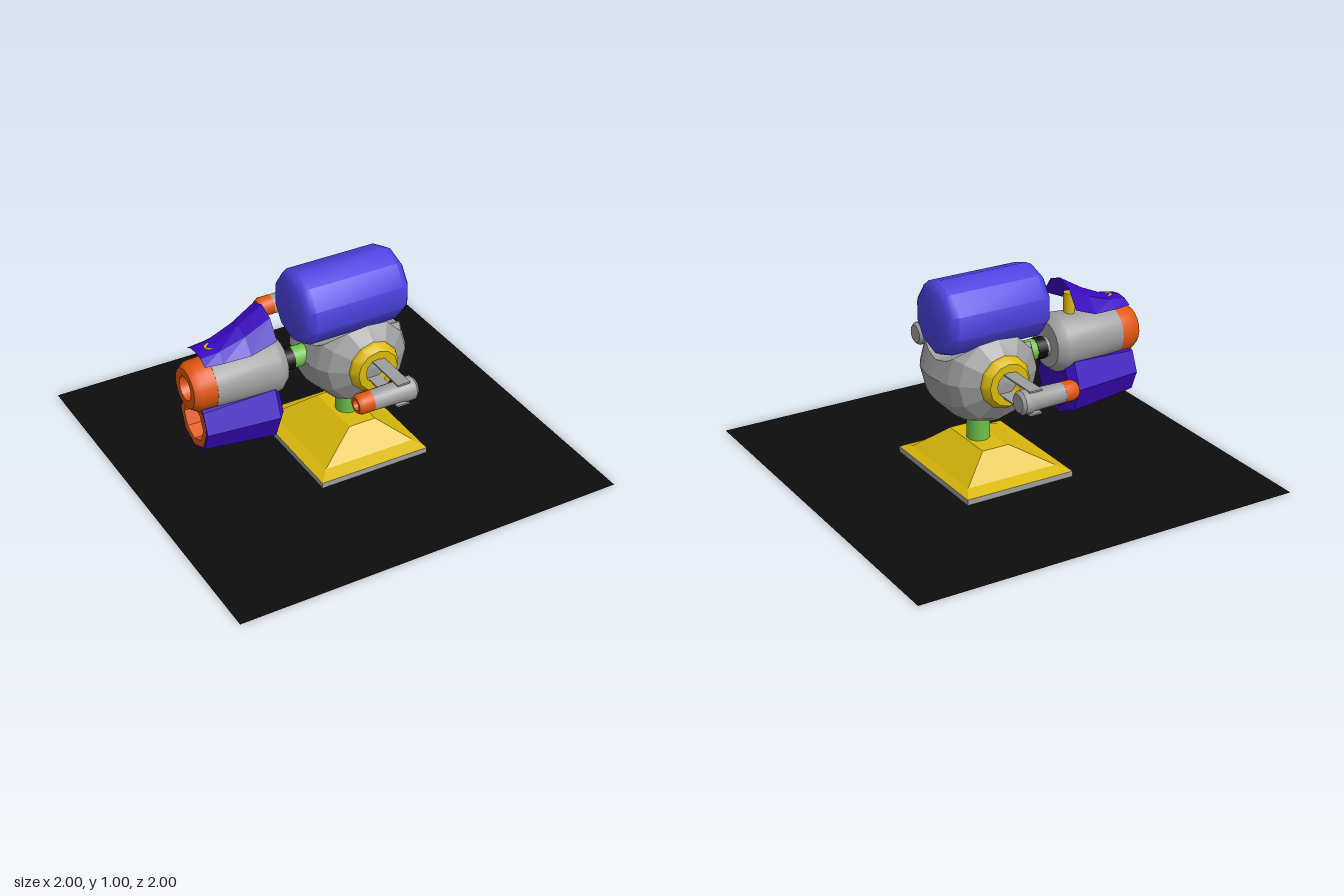
import * as THREE from 'three';
import { toCreasedNormals } from 'three/addons/utils/BufferGeometryUtils.js';

const paint = (name, color, side = THREE.FrontSide) => {
  const m = new THREE.MeshStandardMaterial({ color, side });
  m.name = name;
  return m;
};

export function createModel() {
  const grey = paint('grey', 0x9e9e9e);
  const yellow = paint('yellow', 0xdab90c);
  const green = paint('green', 0x6cc24a);
  const orange = paint('orange', 0xe0560c);
  const black = paint('black', 0x0d0d0d, THREE.DoubleSide);
  const blue = paint('blue', 0x4b42e0);
  const violet = paint('violet', 0x3a08c0, THREE.DoubleSide);

  const model = new THREE.Group();
  const add = (name, geo, mat, x = 0, y = 0, z = 0, parent = model) => {
    const mesh = new THREE.Mesh(geo, mat);
    mesh.name = name;
    mesh.position.set(x, y, z);
    parent.add(mesh);
    return mesh;
  };

  // Turned part: profile is [radius, distance along axis], ascending outside
  const turned = (axis, profile, sides, crease = 0.7, roll = 0) => {
    const g = new THREE.LatheGeometry(profile.map(p => new THREE.Vector2(...p)), sides);
    if (axis === 'x') g.rotateZ(-Math.PI / 2).rotateX(roll);
    if (axis === 'z') g.rotateX(Math.PI / 2);
    return toCreasedNormals(g, crease);
  };

  // Faceted skin over rows of points
  const loft = (rows, closed) => {
    const n = rows[0].length, idx = [];
    for (let i = 0; i < rows.length - 1; i++) {
      for (let j = 0; j < (closed ? n : n - 1); j++) {
        const a = i * n + j, b = i * n + (j + 1) % n;
        idx.push(a, b, b + n, a, b + n, a + n);
      }
    }
    if (closed) {
      const t = (rows.length - 1) * n;
      for (let j = 1; j < n - 1; j++) idx.push(t, t + j, t + j + 1);
    }
    let g = new THREE.BufferGeometry();
    g.setAttribute('position', new THREE.Float32BufferAttribute(rows.flat(2), 3));
    g.setIndex(idx);
    g = g.toNonIndexed();
    g.computeVertexNormals();
    return g;
  };

  // Ground sheet
  add('groundSheet', new THREE.PlaneGeometry(2, 2).rotateX(-Math.PI / 2), black, 0, 0.002, 0);

  // Base slab, sloping foot and stem
  const Z = 0.005, X = 0.11;
  add('baseSlab', new THREE.BoxGeometry(0.58, 0.03, 0.668), grey, 0.075, 0.015, Z);
  const ring = (y, x0, x1, z) => [[x0, y, z], [x1, y, z], [x1, y, -z], [x0, y, -z]];
  add('foot', loft([
    ring(0.03, -0.215, 0.365, 0.333),
    ring(0.05, -0.16, 0.325, 0.268),
    ring(0.16, 0.035, 0.178, 0.155),
  ], true), yellow, 0, 0, Z);
  add('stem', new THREE.CylinderGeometry(0.057, 0.057, 0.17, 16), green, X, 0.225, Z);

  // Faceted round body, hollowed on top to cradle the tank and flattened below
  const body = new THREE.LatheGeometry([
    [0, -0.26], [0.13, -0.24], [0.212, -0.185], [0.243, -0.13], [0.256, -0.08], [0.266, 0],
    [0.256, 0.08], [0.243, 0.13], [0.212, 0.185], [0.13, 0.24], [0, 0.26],
  ].map(p => new THREE.Vector2(...p)), 12).rotateX(Math.PI / 2);
  const pos = body.attributes.position;
  for (let i = 0; i < pos.count; i++) {
    const z = Math.abs(pos.getZ(i));
    const cut = z < 0.2 ? 0.282 - Math.sqrt(0.205 ** 2 - Math.min(z, 0.2) ** 2) : 1;
    pos.setY(i, Math.max(-0.248, Math.min(pos.getY(i), cut)));
  }
  add('body', toCreasedNormals(body, 0.15), grey, X, 0.535, Z);

  // Tank on top
  add('tank', turned('x', [
    [0, -0.278], [0.145, -0.278], [0.17, -0.262], [0.185, -0.232],
    [0.185, 0.232], [0.17, 0.262], [0.145, 0.278], [0, 0.278],
  ], 10, 0.75, Math.PI / 2), blue, X - 0.032, 0.815, Z);

  // Side sockets, arms and small guns, mirrored front and back
  for (const s of [1, -1]) {
    const side = new THREE.Group();
    side.name = s > 0 ? 'frontArm' : 'backArm';
    side.position.set(X, 0.537, Z);
    model.add(side);
    const socket = add('socketRing', turned('z', [
      [0.13, 0.18], [0.13, 0.255], [0.105, 0.288], [0.065, 0.288], [0.06, 0.235],
    ], 12), yellow, 0, 0, 0, side);
    if (s < 0) socket.rotation.y = Math.PI;
    for (const y of [0.057, -0.057]) {
      add('armPlate', new THREE.BoxGeometry(0.065, 0.008, 0.29), grey, 0, y, s * 0.37, side);
    }
    add('smallGun', turned('x', [
      [0, -0.165], [0.049, -0.165], [0.053, 0], [0.058, 0.02],
      [0.058, 0.06], [0.045, 0.075], [0, 0.075],
    ], 16), grey, 0, 0, s * 0.48, side);
    add('smallGunTip', turned('x', [
      [0, -0.2], [0.022, -0.2], [0.026, -0.235], [0.038, -0.235], [0.05, -0.215], [0.05, -0.158], [0, -0.158],
    ], 16), orange, 0, 0, s * 0.48, side);
  }

  // Neck joining the body to the large gun
  const rod = (r, len) => new THREE.CylinderGeometry(r, r, len, 16).rotateZ(Math.PI / 2);
  add('neck', rod(0.053, 0.12), green, -0.14, 0.545, Z);
  add('neckSeal', rod(0.055, 0.055), black, -0.225, 0.545, Z);
  add('neckCollar', rod(0.05, 0.05), grey, -0.27, 0.545, Z);

  // Large gun with hollow muzzle
  add('gunBarrel', turned('x', [
    [0, -0.64], [0.126, -0.64], [0.148, -0.32], [0.142, -0.3], [0.115, -0.268], [0, -0.268],
  ], 20), grey, 0, 0.557, Z);
  add('gunMuzzle', turned('x', [
    [0, -0.67], [0.05, -0.67], [0.06, -0.75], [0.1, -0.75], [0.122, -0.717], [0.125, -0.638],
  ], 20), orange, 0, 0.557, Z);

  // Tapered tube slung under the gun, with lined mouth
  add('lowerTube', turned('x', [
    [0, -0.6], [0.1, -0.6], [0.1, -0.7], [0.143, -0.712], [0.183, -0.35], [0.14, -0.315], [0, -0.315],
  ], 8, 0.2), violet, 0, 0.362, Z);
  add('tubeMouth', turned('x', [
    [0.098, -0.62], [0.098, -0.714], [0.134, -0.714],
  ], 8, 0.2), orange, 0, 0.362, Z);

  // Arched hood rising toward the back, on two posts
  const hoodRow = (x, ridge, edge, w) =>
    [[1, 0], [0.55, 0.75], [0, 1], [-0.55, 0.75], [-1, 0]]
      .map(([u, v]) => [x, edge + (ridge - edge) * v, u * w]);
  add('hood', loft([
    hoodRow(-0.69, 0.735, 0.705, 0.095),
    hoodRow(-0.6, 0.752, 0.705, 0.108),
    hoodRow(-0.47, 0.81, 0.713, 0.126),
    hoodRow(-0.345, 0.885, 0.765, 0.145),
  ], false), violet, 0, 0, Z);
  add('hoodPost', new THREE.CylinderGeometry(0.028, 0.028, 0.09, 12), yellow, -0.617, 0.7, Z);
  add('hoodPost', new THREE.CylinderGeometry(0.028, 0.028, 0.13, 12), yellow, -0.4, 0.735, Z);

  return model;
}
